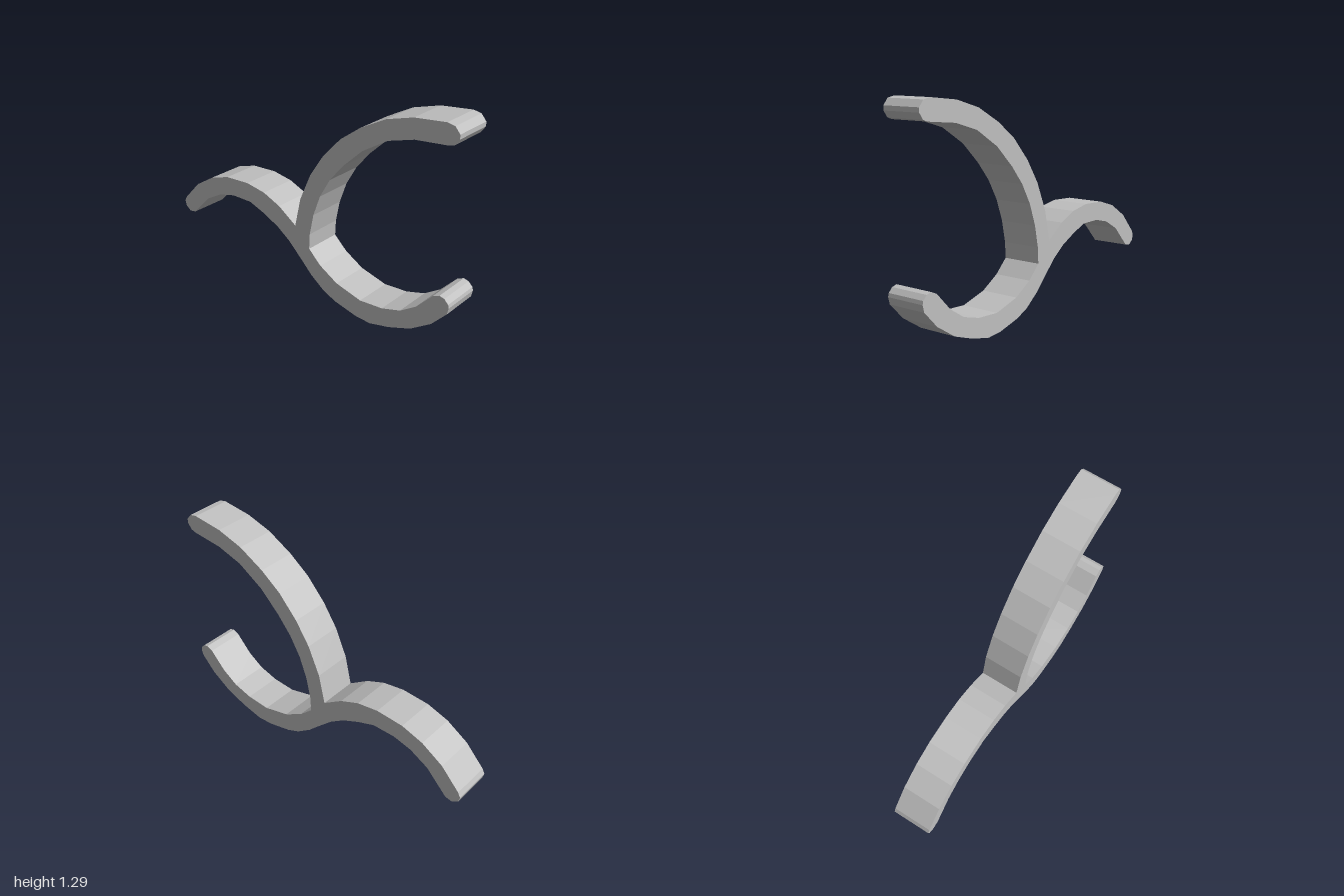
import * as THREE from 'three';

const DEPTH = 0.235;

// Outline runs, clockwise around the three-armed profile
const upperArm = [
  [-0.05, 0.43], [-0.01, 0.61], [0.065, 0.78], [0.155, 0.915], [0.275, 1.045], [0.405, 1.14],
  [0.565, 1.225], [0.73, 1.273], [0.92, 1.294], [0.965, 1.285], [0.995, 1.25], [0.995, 1.225],
  [0.97, 1.19], [0.94, 1.18], [0.74, 1.16], [0.58, 1.113], [0.42, 1.015], [0.295, 0.897],
  [0.205, 0.79], [0.135, 0.67], [0.087, 0.54], [0.06, 0.41], [0.055, 0.315],
];
const lowerArm = [
  [0.14, 0.235], [0.26, 0.165], [0.43, 0.12], [0.58, 0.13], [0.70, 0.165], [0.80, 0.23],
  [0.90, 0.335], [0.94, 0.353], [0.97, 0.345], [0.995, 0.32], [1, 0.3], [0.99, 0.26],
  [0.9, 0.165], [0.77, 0.08], [0.63, 0.03], [0.5, 0], [0.4, 0.007], [0.25, 0.043],
  [0.165, 0.08], [0.07, 0.15], [0, 0.22],
];
const sideArm = [
  [-0.1, 0.315], [-0.19, 0.378], [-0.3, 0.43], [-0.41, 0.47], [-0.55, 0.47], [-0.665, 0.442],
  [-0.78, 0.38], [-0.91, 0.248], [-0.955, 0.24], [-0.99, 0.265], [-1, 0.3], [-0.985, 0.33],
  [-0.87, 0.452], [-0.735, 0.535], [-0.6, 0.577], [-0.43, 0.587], [-0.295, 0.565], [-0.175, 0.515],
];

export function createModel() {
  const group = new THREE.Group();
  group.name = 'threeArmedHook';

  const grey = new THREE.MeshStandardMaterial({ color: 0xc0c0c0, flatShading: true });
  grey.name = 'light grey';

  // One solid strip profile, extruded front to back and centred on z
  const outline = [...upperArm, ...lowerArm, ...sideArm].map(([x, y]) => new THREE.Vector2(x, y));
  const geometry = new THREE.ExtrudeGeometry(new THREE.Shape(outline), {
    depth: DEPTH, bevelEnabled: false, steps: 1,
  });
  geometry.translate(0, 0, -DEPTH / 2);

  const body = new THREE.Mesh(geometry, grey);
  body.name = 'hookBody';
  group.add(body);
  return group;
}
